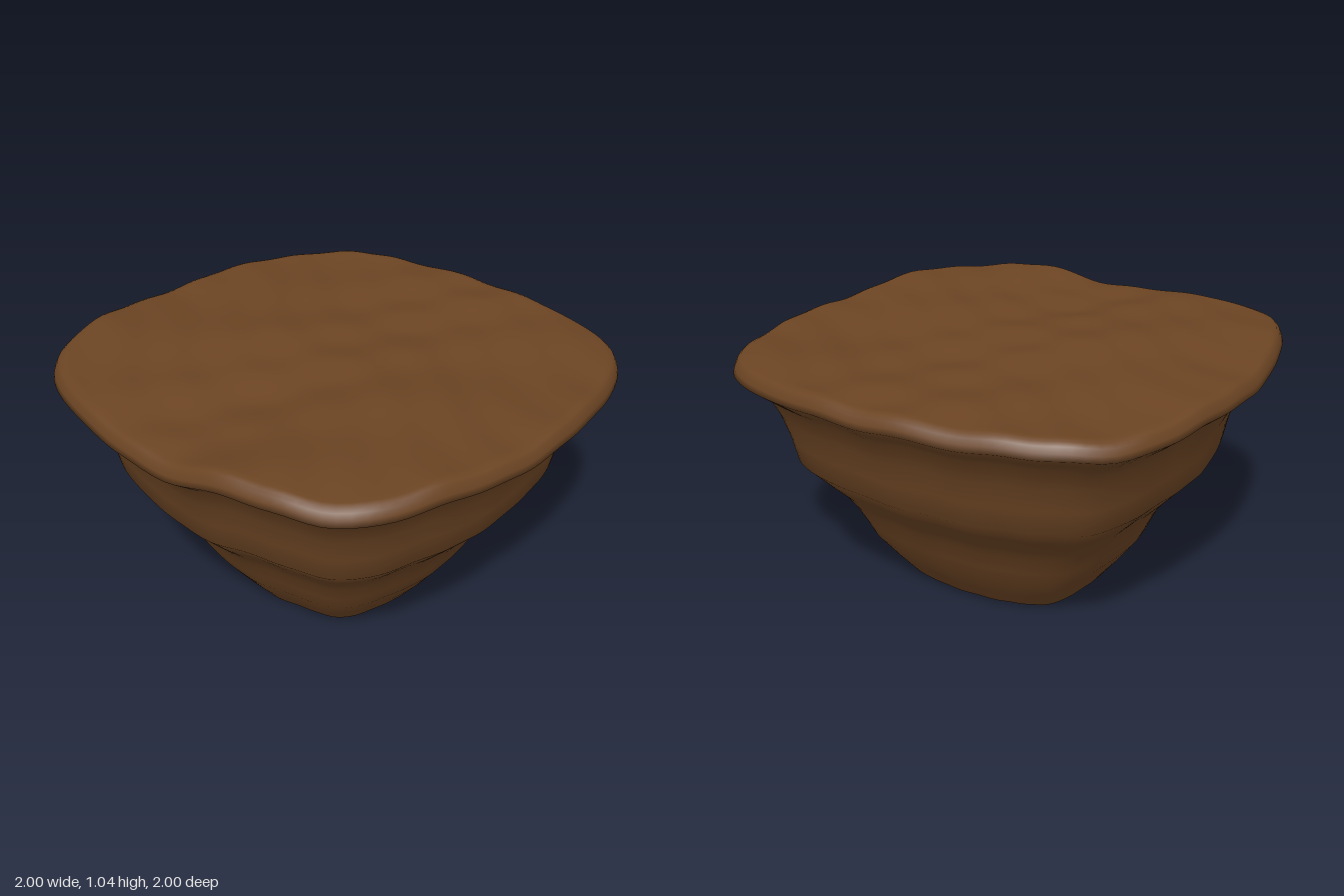
import * as THREE from 'three';

const SIDES = 160;

// Unit outline: a square with bowed sides and full, rounded corners
function outline(i) {
  const side = Math.floor((i / SIDES) * 4);
  const u = ((i / SIDES) * 4 - side) * 2 - 1;
  const a = 0.8 * u - 0.003 * u ** 15;
  const b = 1 - 0.15 * u * u - 0.05 * u ** 8 - 0.003 * u ** 16;
  const turn = (side * Math.PI) / 2;
  const c = Math.round(Math.cos(turn)), s = Math.round(Math.sin(turn));
  return [a * c + b * s, b * c - a * s];
}

// Fine folds in the soil
function folds(x, z) {
  return 0.007 * Math.sin(7 * z - 4 * x + 1.2 + 1.5 * Math.sin(3 * x))
    + 0.005 * Math.sin(11 * x + 9 * z + 2 * Math.sin(4 * x))
    + 0.003 * Math.sin(23 * z - 9 * x + 2 * Math.sin(6 * x));
}

// Uneven height: higher front half and a shallow gully along the middle
function bumps(x, z) {
  const gully = Math.exp(-14 * (x - 0.04) ** 2);
  return 0.015 * (1 + Math.tanh(3 * (z - 0.15))) * (1 - gully)
    - 0.014 * gully * Math.max(0, z)
    - 0.026 * Math.exp(-4 * (x + 0.55) ** 2 - 10 * (z - 1) ** 2)
    + 0.014 * Math.exp(-14 * (x - 0.42) ** 2 - 3 * (z - 1) ** 2)
    + folds(x, z);
}

// Surface lofted through rings given as [radius, height]
function loft(rings, bumpAt) {
  const pos = [], index = [];
  rings.forEach(([r, y], j) => {
    for (let i = 0; i < SIDES; i++) {
      const [ox, oz] = outline(i);
      pos.push(ox * r, Math.max(0, y + bumpAt(ox, oz, r, y)), oz * r);
      if (j === rings.length - 1) continue;
      const a = j * SIDES + i, b = j * SIDES + ((i + 1) % SIDES);
      index.push(a, b, b + SIDES, a, b + SIDES, a + SIDES);
    }
  });
  const geo = new THREE.BufferGeometry();
  geo.setAttribute('position', new THREE.Float32BufferAttribute(pos, 3));
  geo.setIndex(index);
  geo.computeVertexNormals();
  return geo;
}

export function createModel() {
  const group = new THREE.Group();
  group.name = 'earthMound';
  const soil = new THREE.MeshStandardMaterial({ color: 0x6b4423 });
  soil.name = 'brownSoil';

  // Flared, stepped wall that rolls over the rim
  const rimRadius = 0.955, topY = 0.998;
  const wall = [
    [0.42, 0.017], [0.485, 0.1], [0.55, 0.19], [0.582, 0.26], [0.622, 0.34], [0.67, 0.41],
    [0.74, 0.485], [0.808, 0.56], [0.828, 0.66], [0.857, 0.76], [0.9, 0.855], [0.95, 0.895],
    [1, 0.935], [0.994, 0.958], [0.984, 0.98], [0.972, 0.992], [rimRadius, topY],
  ];
  // Top surface continues inward to the centre
  for (let k = 1; k <= 44; k++) wall.push([rimRadius * (1 - k / 44), topY]);
  // Rim waves fade down the wall; the top follows the full height field
  const body = new THREE.Mesh(loft(wall, (x, z, r, y) => y < topY
    ? bumps(x * rimRadius, z * rimRadius) * (0.25 + 0.75 * y)
    : bumps(x * r, z * r)), soil);
  body.name = 'moundBody';

  // Rough underside, joined to the foot of the wall
  const under = [];
  for (let k = 0; k <= 16; k++) under.push([0.42 * (k / 16), 0.017]);
  const base = new THREE.Mesh(loft(under, (x, z, r) => {
    const edge = (r / 0.42) ** 2;
    return bumps(x * rimRadius, z * rimRadius) * 0.26 * edge
      + folds(x * r * 2.2, z * r * 2.2) * (1 - edge);
  }), soil);
  base.name = 'moundUnderside';

  group.add(body, base);
  return group;
}
